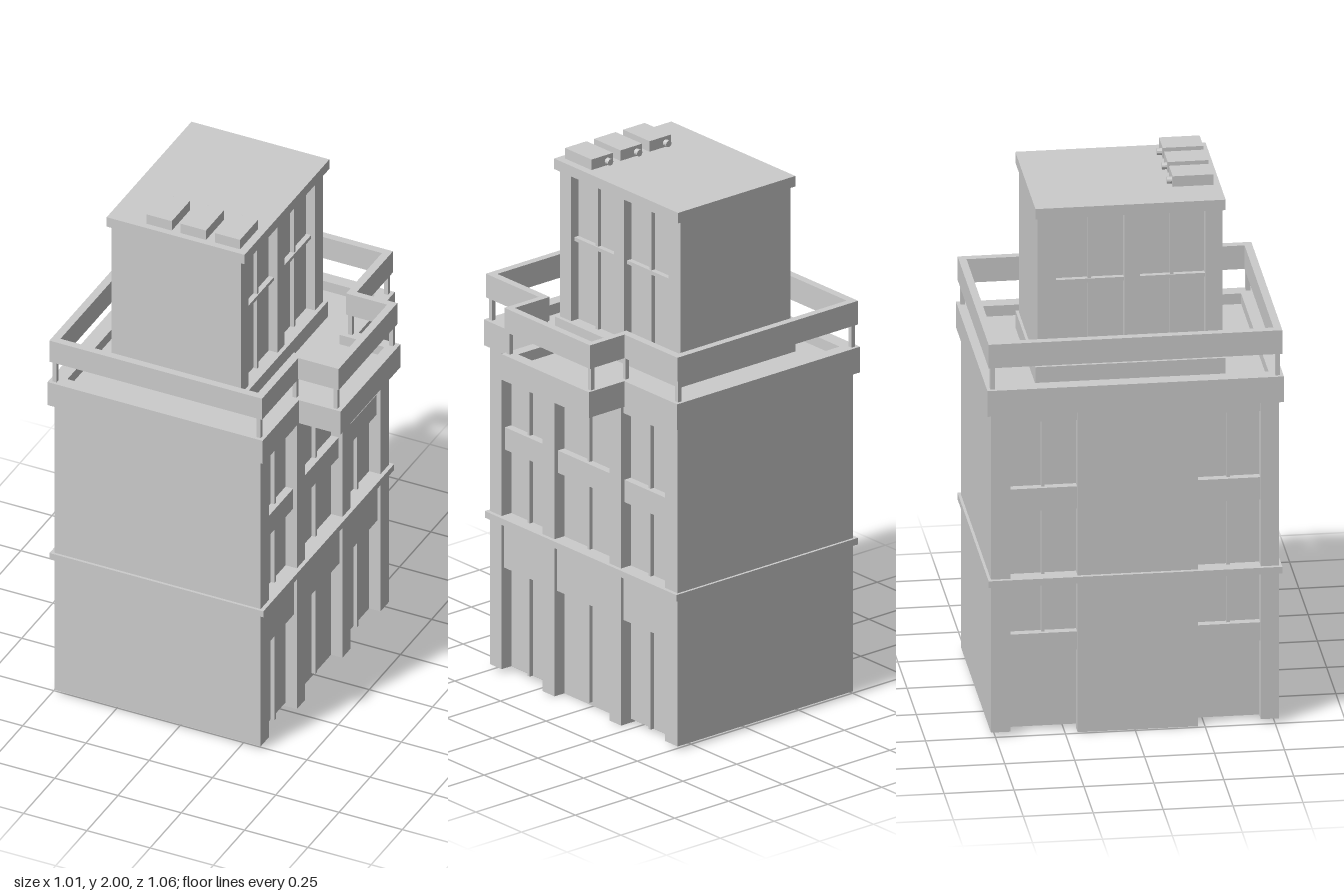
import * as THREE from 'three';

const mat = new THREE.MeshStandardMaterial({ color: 0xcccccc, flatShading: true });

export function createModel() {
  const model = new THREE.Group();

  function add(name, geometry) {
    const mesh = new THREE.Mesh(geometry, mat);
    mesh.name = name;
    model.add(mesh);
    return mesh;
  }

  // Box given by its limits on each axis
  function box(name, x0, x1, y0, y1, z0, z1) {
    const g = new THREE.BoxGeometry(x1 - x0, y1 - y0, z1 - z0);
    g.translate((x0 + x1) / 2, (y0 + y1) / 2, (z0 + z1) / 2);
    return add(name, g);
  }

  // Box on a side facade: from depth "back" to depth "front" behind the wall plane
  function onFace(name, plane, sign, back, front, y0, y1, z0, z1) {
    const a = plane - sign * back, b = plane - sign * front;
    return box(name, Math.min(a, b), Math.max(a, b), y0, y1, z0, z1);
  }

  // Terrace outline with the balcony on the left side
  function outline(Type, x0, x1, xb, z, zb) {
    const points = [[x0, -z], [x1, -z], [x1, -zb], [xb, -zb], [xb, zb], [x1, zb], [x1, z], [x0, z]];
    return new Type(points.map(([x, y]) => new THREE.Vector2(x, y)));
  }

  // Plan shape raised from y0 to y1
  function raise(name, shape, y0, y1) {
    const g = new THREE.ExtrudeGeometry(shape, { depth: y1 - y0, bevelEnabled: false });
    g.rotateX(Math.PI / 2).translate(0, y1, 0);
    return add(name, g);
  }

  const L = 0.325, R = -0.49, Z = 0.515, DEPTH = 0.045, TOP = 1.235;

  // Body: two wings, a middle part and a hollow entrance below it
  box('frontWing', R + DEPTH, L - DEPTH, 0.015, TOP, 0.225, 0.49);
  box('backWing', R + DEPTH, L - DEPTH, 0.015, TOP, -0.49, -0.205);
  box('middleCore', R + DEPTH, L - DEPTH, 0.6, TOP, -0.205, 0.225);
  box('frontWall', R, L, 0.015, TOP, 0.45, Z);
  box('backWall', R, L, 0.015, TOP, -Z, -0.445);
  box('rearStairWall', R, R + DEPTH, 0, TOP, -0.205, 0.225);
  box('entranceDoors', L - DEPTH - 0.02, L - DEPTH, 0, 0.6, -0.205, 0.225);

  // Left facade: piers and three bays
  for (const [z0, z1] of [[0.16, 0.225], [-0.205, -0.14]]) {
    onFace('pier', L, 1, DEPTH, 0, 0, TOP, z0, z1);
  }
  const bays = [[0.225, 0.45], [-0.14, 0.16], [-0.445, -0.205]];
  for (const [z0, z1] of bays) {
    const mid = (z0 + z1) / 2;
    onFace('bayHeader', L, 1, DEPTH, 0.012, 0.4, 0.6, z0, z1);
    onFace('baySpandrel', L, 1, DEPTH, 0.015, 0.85, 0.935, z0, z1);
    onFace('bayLintel', L, 1, DEPTH, 0.012, 1.19, TOP, z0, z1);
    onFace('lowerMullion', L, 1, DEPTH, 0.03, 0.015, 0.4, mid - 0.006, mid + 0.006);
    onFace('upperMullion', L, 1, DEPTH, 0.03, 0.6, 1.19, mid - 0.006, mid + 0.006);
  }

  // Right facade: bays only at the two ends
  for (const [z0, z1] of [bays[0], bays[2]]) {
    const mid = (z0 + z1) / 2;
    onFace('rightSill', R, -1, DEPTH, 0.015, 0.31, 0.38, z0, z1);
    onFace('rightSpandrel', R, -1, DEPTH, 0.015, 0.85, 0.935, z0, z1);
    onFace('rightLintel', R, -1, DEPTH, 0.012, 1.19, TOP, z0, z1);
    onFace('rightMullion', R, -1, DEPTH, 0.03, 0.38, 1.19, mid - 0.006, mid + 0.006);
  }

  // Cornice between the storeys
  box('stringCourse', -0.505, 0.34, 0.575, 0.6, -0.525, 0.525);

  // Terrace deck, parapet and raised rail
  raise('terraceDeck', outline(THREE.Shape, -0.5, 0.33, 0.495, 0.52, 0.23), TOP, 1.29);
  const parapet = outline(THREE.Shape, -0.51, 0.34, 0.505, 0.53, 0.24);
  parapet.holes.push(outline(THREE.Path, -0.455, 0.285, 0.462, 0.482, 0.198));
  raise('parapet', parapet, TOP - 0.003, 1.33);
  const rail = outline(THREE.Shape, -0.505, 0.335, 0.495, 0.525, 0.235);
  rail.holes.push(outline(THREE.Path, -0.475, 0.305, 0.467, 0.497, 0.21));
  raise('rail', rail, 1.415, 1.505);

  // Rail posts at every corner
  for (const s of [1, -1]) {
    for (const [x, z] of [[-0.488, 0.51], [0.318, 0.51], [0.318, 0.223], [0.48, 0.223]]) {
      box('railPost', x - 0.008, x + 0.008, 1.33, 1.415, s * z - 0.008, s * z + 0.008);
    }
  }

  // Penthouse
  const PL = 0.155, PR = -0.355, PD = 0.035;
  box('penthouseCore', PR + PD, PL - PD, 1.29, 1.92, -0.3, 0.3);
  box('penthouseFront', PR, PL, 1.29, 1.92, 0.27, 0.33);
  box('penthouseBack', PR, PL, 1.29, 1.92, -0.33, -0.265);
  box('penthousePlinth', -0.37, 0.17, 1.29, 1.355, -0.34, 0.34);
  box('penthouseRoof', -0.37, 0.175, 1.92, 1.96, -0.34, 0.34);
  for (const [plane, s] of [[PL, 1], [PR, -1]]) {
    onFace('penthousePier', plane, s, PD, 0, 1.29, 1.92, -0.02, 0.035);
    for (const [z0, z1] of [[0.035, 0.27], [-0.265, -0.02]]) {
      const mid = (z0 + z1) / 2;
      onFace('penthouseTransom', plane, s, PD, 0.015, 1.658, 1.672, z0, z1);
      onFace('penthouseMullion', plane, s, PD, 0.02, 1.355, 1.92, mid - 0.006, mid + 0.006);
    }
  }

  // Rooftop air units with pipe stubs
  for (const x of [-0.225, -0.09, 0.045]) {
    box('airUnit', x, x + 0.1, 1.96, 2, 0.17, 0.315);
    const pipe = new THREE.CylinderGeometry(0.0125, 0.0125, 0.03, 12);
    pipe.rotateX(Math.PI / 2).translate(x + 0.026, 1.976, 0.167);
    add('airPipe', pipe);
  }

  return model;
}
